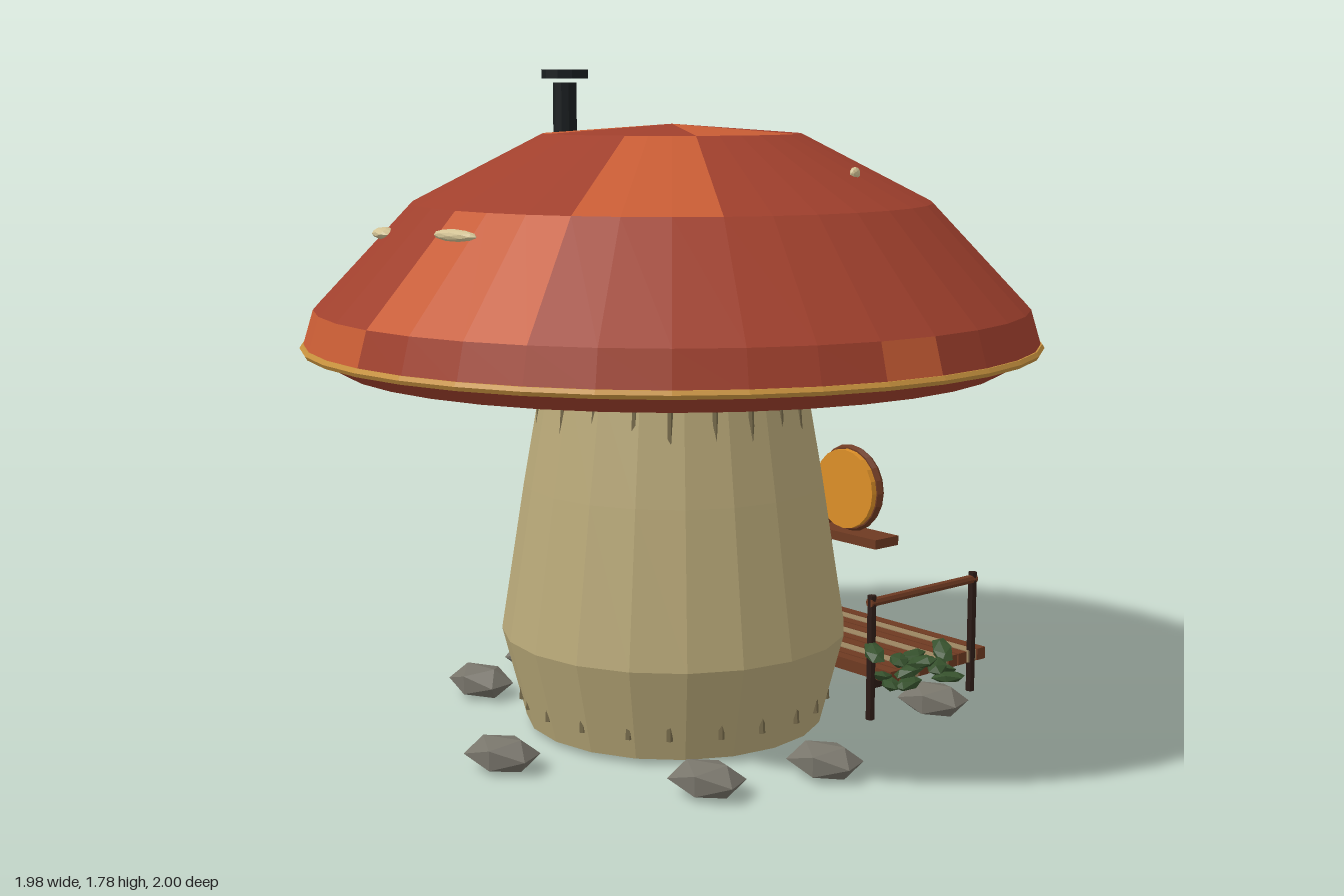
import * as THREE from 'three';

const mat = (color, side = THREE.FrontSide) => new THREE.MeshStandardMaterial({ color, flatShading: true, side });
const M = {
  red: mat(0xa0402d, THREE.DoubleSide), orange: mat(0xc85c34, THREE.DoubleSide), gold: mat(0xc8923e),
  stalk: mat(0xb8a878, THREE.DoubleSide), streak: mat(0x75694a), spot: mat(0xd2c294),
  iron: mat(0x1a1e20), dark: mat(0x2c1b16), wood: mat(0x6e3a22), door: mat(0x552c1e),
  pale: mat(0x9a8460), glass: mat(0xdc8f28), stone: mat(0x86857a), rock: mat(0x77746a), leaf: mat(0x35502c),
};
const DEG = Math.PI / 180;

let seed = 7;
const rnd = (a, b) => {
  seed = (seed * 16807) % 2147483647;
  return a + (b - a) * (seed / 2147483647);
};

function add(parent, name, geo, material, x = 0, y = 0, z = 0) {
  const m = new THREE.Mesh(geo, material);
  m.name = name;
  m.position.set(x, y, z);
  parent.add(m);
  return m;
}
function group(parent, name) {
  const g = new THREE.Group();
  g.name = name;
  parent.add(g);
  return g;
}
const box = (w, h, d) => new THREE.BoxGeometry(w, h, d);

// Rod between two points
function rod(parent, name, a, b, r0, r1, material, sides = 8) {
  const dir = b.clone().sub(a);
  const m = add(parent, name, new THREE.CylinderGeometry(r1, r0, dir.length(), sides), material);
  m.position.copy(a).addScaledVector(dir, 0.5);
  m.quaternion.setFromUnitVectors(new THREE.Vector3(0, 1, 0), dir.normalize());
  return m;
}

// Cap: rings of 10 degree facets, each with some orange sectors [start, end]
function buildCap(root) {
  const cap = group(root, 'cap');
  cap.position.z = 0.007;
  const profile = [[0, 1.01], [0.89, 1.01], [0.985, 1.065], [0.955, 1.165], [0.695, 1.44], [0.345, 1.62], [0, 1.645]]
    .map(p => new THREE.Vector2(...p));
  const patches = [
    [[110, 140], [250, 280]],
    [],
    [[80, 90], [140, 150], [220, 240], [330, 360]],
    [[0, 30], [140, 170], [250, 280]],
    [[30, 60], [170, 200], [280, 310]],
    [[60, 120], [200, 230], [310, 340]],
  ];
  patches.forEach((list, i) => {
    const sector = (from, to, material) => to > from && add(cap, 'capPanel', new THREE.LatheGeometry(
      [profile[i], profile[i + 1]], (to - from) / 10, from * DEG, (to - from) * DEG), material);
    let at = 0;
    for (const [from, to] of list) {
      sector(at, from, M.red);
      sector(from, to, M.orange);
      at = to;
    }
    sector(at, 360, M.red);
  });
  const trim = add(cap, 'capTrim', new THREE.TorusGeometry(0.98, 0.012, 6, 36), M.gold, 0, 1.065, 0);
  trim.rotation.x = Math.PI / 2;

  // Thin gills under the cap
  for (let i = 0; i < 36; i++) {
    const pivot = group(cap, 'gill');
    pivot.rotation.y = i * 10 * DEG;
    add(pivot, 'gillBlade', box(0.006, 0.006, 0.16), M.gold, 0, 1.01, 0.43);
  }

  // Pale spots: x, y, z, length, depth
  const spots = [[0.07, 1.385, 0.75, 0.08, 0.022], [-0.36, 1.365, 0.68, 0.065, 0.035], [-0.68, 1.345, 0.4, 0.06, 0.035],
    [-0.45, 1.385, -0.59, 0.065, 0.03], [0.51, 1.525, -0.17, 0.02, 0.012]];
  for (const [x, y, z, l, d] of spots) {
    const s = add(cap, 'capSpot', new THREE.IcosahedronGeometry(1, 1), M.spot, x, y, z - 0.007);
    s.scale.set(l, 0.016, d);
    s.rotation.y = Math.atan2(x, z);
  }

  // Chimney pipe
  add(root, 'chimneyPipe', new THREE.CylinderGeometry(0.033, 0.033, 0.26, 10), M.iron, -0.41, 1.625, 0.055);
  add(root, 'chimneyLid', new THREE.CylinderGeometry(0.065, 0.065, 0.024, 10), M.iron, -0.41, 1.778, 0.055);
}

// Stalk with slender streaks that surface at its top and foot
function buildStalk(root) {
  const pts = [[0.41, 0.02], [0.475, 0.27], [0.41, 0.68], [0.357, 0.98]].map(p => new THREE.Vector2(...p));
  add(root, 'stalk', new THREE.LatheGeometry(pts, 20), M.stalk);
  const streaks = group(root, 'streaks');
  for (let i = 0; i < 22; i++) {
    const t = (i / 22) * Math.PI * 2 + rnd(-0.04, 0.04);
    const at = (r, y) => new THREE.Vector3(Math.sin(t) * r, y, Math.cos(t) * r);
    rod(streaks, 'streak', at(0.424, 0.075), at(rnd(0.355, 0.362), 0.98), 0.009, 0.008, M.streak, 5);
  }
}

// Round window facing the back
function buildWindow(root, x) {
  const w = group(root, 'roundWindow');
  w.position.set(x, 0.65, -0.38);
  add(w, 'glass', new THREE.CylinderGeometry(0.11, 0.11, 0.03, 20), M.glass).rotation.x = Math.PI / 2;
  add(w, 'windowFrame', new THREE.TorusGeometry(0.107, 0.014, 6, 20), M.wood, 0, 0, -0.014);
  add(w, 'windowBar', box(0.21, 0.014, 0.014), M.wood, 0, 0, -0.018);
  add(w, 'windowBar', box(0.014, 0.21, 0.014), M.wood, 0, 0, -0.018);
  add(w, 'windowSill', box(0.24, 0.026, 0.09), M.wood, 0, -0.138, -0.035);
}

// Door of upright boards with a knob
function buildDoor(root) {
  const door = group(root, 'door');
  add(door, 'doorFrame', box(0.29, 0.46, 0.035), M.wood, 0, 0.365, -0.45);
  for (let i = 0; i < 5; i++)
    add(door, 'doorBoard', box(0.047, 0.42 + (i % 2) * 0.012, 0.02), M.door, (i - 2) * 0.052, 0.35, -0.473);
  add(door, 'doorKnob', new THREE.IcosahedronGeometry(0.013, 1), M.gold, 0.1, 0.34, -0.49);
}

// Deck, railings and steps behind the door
function buildPorch(root) {
  const porch = group(root, 'porch');
  for (let i = 0; i < 10; i++)
    add(porch, 'deckPlank', box(0.84, 0.034, 0.034), i % 3 === 2 ? M.pale : M.wood, 0, 0.128, -0.445 - i * 0.04);
  for (const s of [-1, 1]) {
    const x = s * 0.415;
    add(porch, 'deckBeam', box(0.03, 0.025, 0.4), M.dark, s * 0.35, 0.1, -0.625);
    for (const z of [-0.355, -0.765])
      add(porch, 'railPost', new THREE.CylinderGeometry(0.012, 0.012, 0.35, 8), M.dark, x, 0.2, z);
    rod(porch, 'handrail', new THREE.Vector3(x, 0.355, -0.345), new THREE.Vector3(x, 0.355, -0.775), 0.013, 0.013, M.wood);
  }
  for (let i = 0; i < 3; i++)
    add(porch, 'step', box(0.38, 0.03, 0.075), M.stone, 0, 0.093 - i * 0.029, -0.822 - i * 0.07);
}

// Rocks and leafy shrubs around the foot
function buildGarden(root) {
  const rocks = [[0.05, 0.62], [0.53, 0.34], [0.62, 0.02], [-0.51, 0.3], [-0.62, 0.02], [-0.45, -0.47], [0.45, -0.57]];
  for (const [x, z] of rocks) {
    const r = add(root, 'rock', new THREE.IcosahedronGeometry(1, 0), M.rock, x, 0.048, z);
    r.scale.set(0.105, 0.05, 0.08);
    r.rotation.y = rnd(0, 0.8);
  }
  for (const s of [-1, 1]) {
    const shrub = group(root, 'shrub');
    for (let i = 0; i < 13; i++) {
      const l = add(shrub, 'leaf', new THREE.IcosahedronGeometry(1, 0), M.leaf,
        s * rnd(0.42, 0.61), rnd(0.1, 0.24), rnd(-0.5, -0.3));
      l.scale.set(0.05, 0.016, 0.03);
      l.rotation.set(rnd(-0.3, 0.3), rnd(0, 3), rnd(-0.4, 0.4));
    }
  }
}

export function createModel() {
  const root = new THREE.Group();
  root.name = 'mushroomHouse';
  buildCap(root);
  buildStalk(root);
  for (const s of [-1, 1]) buildWindow(root, s * 0.29);
  buildDoor(root);
  buildPorch(root);
  buildGarden(root);
  return root;
}
